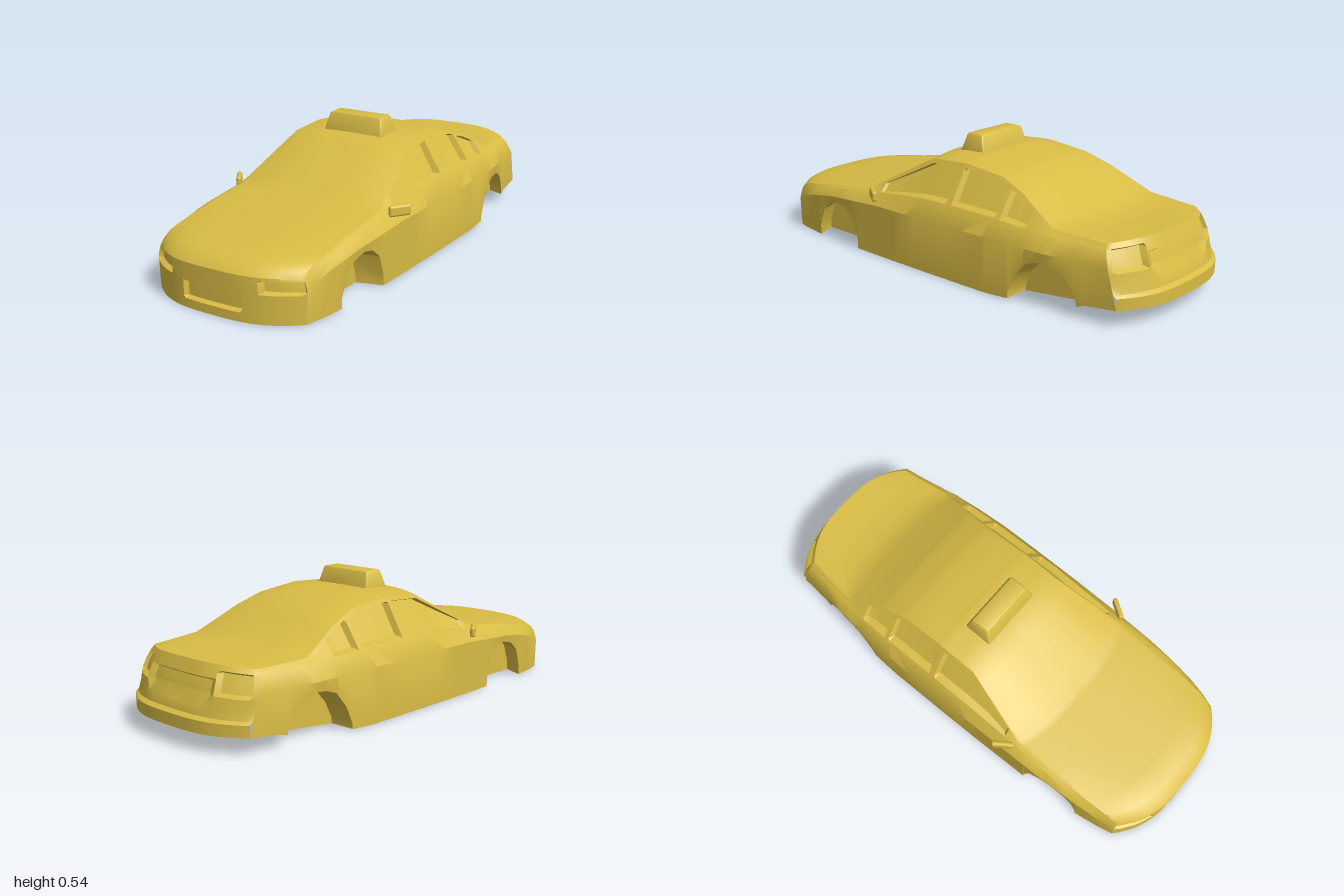
import * as THREE from 'three';
import { toCreasedNormals } from 'three/addons/utils/BufferGeometryUtils.js';
import { RoundedBoxGeometry } from 'three/addons/geometries/RoundedBoxGeometry.js';

const { lerp } = THREE.MathUtils;

// Piecewise linear lookup in [key, value] pairs with ascending keys
function at(table, k) {
  if (k <= table[0][0]) return table[0][1];
  for (let i = 1; i < table.length; i++) {
    const [k0, v0] = table[i - 1], [k1, v1] = table[i];
    if (k <= k1) return k1 === k0 ? v1 : lerp(v0, v1, (k - k0) / (k1 - k0));
  }
  return table[table.length - 1][1];
}

// Centre-line height, by z on the centre line
const TOP = [[-.92, .315], [-.75, .31], [-.64, .32], [-.55, .357], [-.42, .42], [-.3, .459], [-.1, .478], [0, .476],
  [.09, .465], [.25, .383], [.42, .287], [.6, .262], [.8, .237], [.94, .22], [.98, .2], [1, .178]];
// How far the centre runs ahead of the sides
const BOW = [[-.82, -.1], [-.75, -.06], [-.6, -.04], [-.42, 0], [0, 0], [.07, .02], [.37, .05], [.6, .05],
  [.76, .08], [.83, .11], [.89, .11]];
// Hood edge, roof rail and trunk edge
const EDGE_X = [[-.82, .3], [-.6, .325], [-.42, .285], [-.3, .268], [.07, .27], [.37, .342], [.6, .345], [.76, .34], [.89, .33]];
const EDGE_Y = [[-.82, .3], [-.6, .308], [-.42, .4], [-.3, .442], [-.1, .462], [.07, .45], [.37, .28], [.6, .25],
  [.83, .21], [.87, .19], [.89, .172]];
// Belt line, shoulder and floor
const BELT_X = [[-.82, .32], [-.6, .352], [-.4, .366], [0, .37], [.37, .36], [.6, .367], [.76, .355], [.89, .337]];
const BELT_Y = [[-.82, .275], [-.6, .285], [-.3, .292], [0, .292], [.37, .27], [.6, .238], [.83, .19], [.89, .155]];
const WIDTH = [[-.82, .34], [-.75, .352], [-.6, .38], [-.45, .393], [-.3, .4], [0, .4], [.2, .398], [.5, .392],
  [.7, .378], [.8, .365], [.89, .345]];
const SHOULDER_Y = [[-.82, .22], [-.3, .23], [.3, .225], [.6, .205], [.8, .17], [.89, .13]];
const FLOOR_Y = [[-.82, .07], [-.73, .045], [-.4, .003], [-.3, 0]];
// Wheel arch height by z
const ARCH = [[-.731, 0], [-.73, .06], [-.72, .09], [-.69, .14], [-.65, .17], [-.6, .185], [-.56, .182], [-.51, .165],
  [-.46, .1], [-.43, .03], [-.429, 0], [.439, 0], [.44, .04], [.47, .13], [.52, .17], [.57, .18], [.63, .165],
  [.68, .125], [.71, .04], [.711, 0]];
// Tail profile: backward offset by height
const RAKE = [[.07, .08], [.12, .08], [.13, .06], [.22, .04], [.315, 0]];

const STATIONS = [.89, .87, .83, .76, .4, .37, .31, .3, .2, .12, .07, 0, -.07, -.08, -.105, -.115, -.2, -.3, -.33, -.34,
  -.36, -.37, -.42, -.48, -.49, -.77, -.82, ...ARCH.map((p) => p[0])].sort((a, b) => b - a);
const WINDOWS = [[.3, -.07], [-.115, -.33], [-.37, -.48]];
const U = [0, .12, .24, .36, .39, .48, .57, .6, .7, .8, .93, .96, 1];
const PANEL = [.1, .14, .5, .86, .92, 1];
const WELL_X = .28;

const isTail = (z) => z === -.82;
const topY = (z, u) => lerp(at(TOP, z + at(BOW, z)), at(EDGE_Y, z), u ** 3);

// Places a point, bowing it forward or back according to u = distance from the centre
function place(x, y, z, u) {
  const tail = isTail(z) ? at(RAKE, y) : 0;
  return new THREE.Vector3(x, y, z + at(BOW, z) * (1 - u ** 3) - tail);
}

// Half cross-section: top centre, out to the edge, down the side, through the wheel well, floor centre
function section(z) {
  const ex = at(EDGE_X, z), ey = at(EDGE_Y, z), bx = at(BELT_X, z), by = at(BELT_Y, z);
  const w = at(WIDTH, z), floor = at(FLOOR_Y, z), arch = Math.max(floor, at(ARCH, z));
  const pts = U.map((u) => place(ex * u, topY(z, u), z, u));
  // Glass panel, sunk between the pillars
  const glass = WINDOWS.some(([a, b]) => z <= a && z >= b);
  for (const v of PANEL) {
    const sink = glass && v > .12 && v < .9 ? .028 * Math.min(1, (ey - by) / .1) : 0;
    pts.push(place(lerp(ex, bx, v) - sink, lerp(ey, by, v), z, 1));
  }
  pts.push(place(w, at(SHOULDER_Y, z), z, 1), place(w - .004, arch, z, 1));
  const wu = WELL_X / w;
  pts.push(place(WELL_X, arch, z, wu), place(WELL_X, floor, z, wu));
  for (const f of [.75, .5, .25, 0]) pts.push(place(WELL_X * f, floor, z, wu * f));
  return pts;
}

// Half end face; each recess is [u0, u1, v0, v1, depth]
function endFace(z, V, recesses) {
  const floor = at(FLOOR_Y, z), w = at(WIDTH, z);
  const side = [[floor, w - .004], [at(SHOULDER_Y, z), w], [at(BELT_Y, z), at(BELT_X, z)], [at(EDGE_Y, z), at(EDGE_X, z)]];
  return V.map((v) => U.map((u) => {
    const p = place(u * at(side, lerp(at(EDGE_Y, z), floor, v)), lerp(topY(z, u), floor, v), z, u);
    for (const [u0, u1, v0, v1, d] of recesses) {
      if (u >= u0 && u <= u1 && v >= v0 && v <= v1) p.z -= d * Math.sign(z);
    }
    return p;
  }));
}

// Adds a grid of points and its mirror image as triangles
function addGrid(out, rows, flip = false) {
  const tri = (a, b, c) => {
    const area = b.clone().sub(a).cross(c.clone().sub(a)).length();
    if (area < 1e-9) return;
    const order = flip ? [a, c, b] : [a, b, c];
    for (const p of order) out.push(p.x, p.y, p.z);
    for (const p of order.reverse()) out.push(-p.x, p.y, p.z);
  };
  for (let i = 0; i < rows.length - 1; i++) {
    for (let j = 0; j < rows[i].length - 1; j++) {
      const a = rows[i][j], b = rows[i][j + 1], c = rows[i + 1][j], d = rows[i + 1][j + 1];
      tri(a, b, c);
      tri(b, d, c);
    }
  }
}

function bodyGeometry() {
  const out = [];
  addGrid(out, STATIONS.map(section));
  // Nose with headlight and plate recesses
  addGrid(out, endFace(.89, [0, .06, .1, .2, .32, .36, .4, .44, .6, .76, .8, 1],
    [[.6, .97, .1, .32, .025], [0, .36, .44, .76, .02]]), true);
  // Tail with light and plate recesses
  addGrid(out, endFace(-.82, [0, .08, .12, .2, .24, .4, .44, .6, .755, .8, 1],
    [[.6, .93, .12, .4, .022], [0, .48, .24, .44, .02]]));
  const g = new THREE.BufferGeometry();
  g.setAttribute('position', new THREE.Float32BufferAttribute(out, 3));
  return toCreasedNormals(g, .5);
}

// Tapered roof sign
function signGeometry() {
  const g = new RoundedBoxGeometry(.29, .085, .135, 2, .01);
  const p = g.attributes.position;
  for (let i = 0; i < p.count; i++) {
    const t = p.getY(i) / .085 + .5;
    p.setX(i, p.getX(i) * (1 - .14 * t));
    p.setZ(i, p.getZ(i) * (1 - .4 * t));
  }
  return toCreasedNormals(g.index ? g.toNonIndexed() : g, .5);
}

export function createModel() {
  const group = new THREE.Group();
  const paint = new THREE.MeshStandardMaterial({ color: 0xd9bc45 });
  const add = (name, geometry, x = 0, y = 0, z = 0) => {
    const mesh = new THREE.Mesh(geometry, paint);
    mesh.name = name;
    mesh.position.set(x, y, z);
    group.add(mesh);
    return mesh;
  };
  add('carBody', bodyGeometry());
  add('roofSign', signGeometry(), 0, .501, -.018);

  // Wing mirrors, swept back
  const mirror = new RoundedBoxGeometry(.095, .045, .022, 3, .01);
  for (const s of [1, -1]) {
    add(s > 0 ? 'leftMirror' : 'rightMirror', mirror, s * .392, .273, .325).rotation.y = s * .97;
  }
  return group;
}
